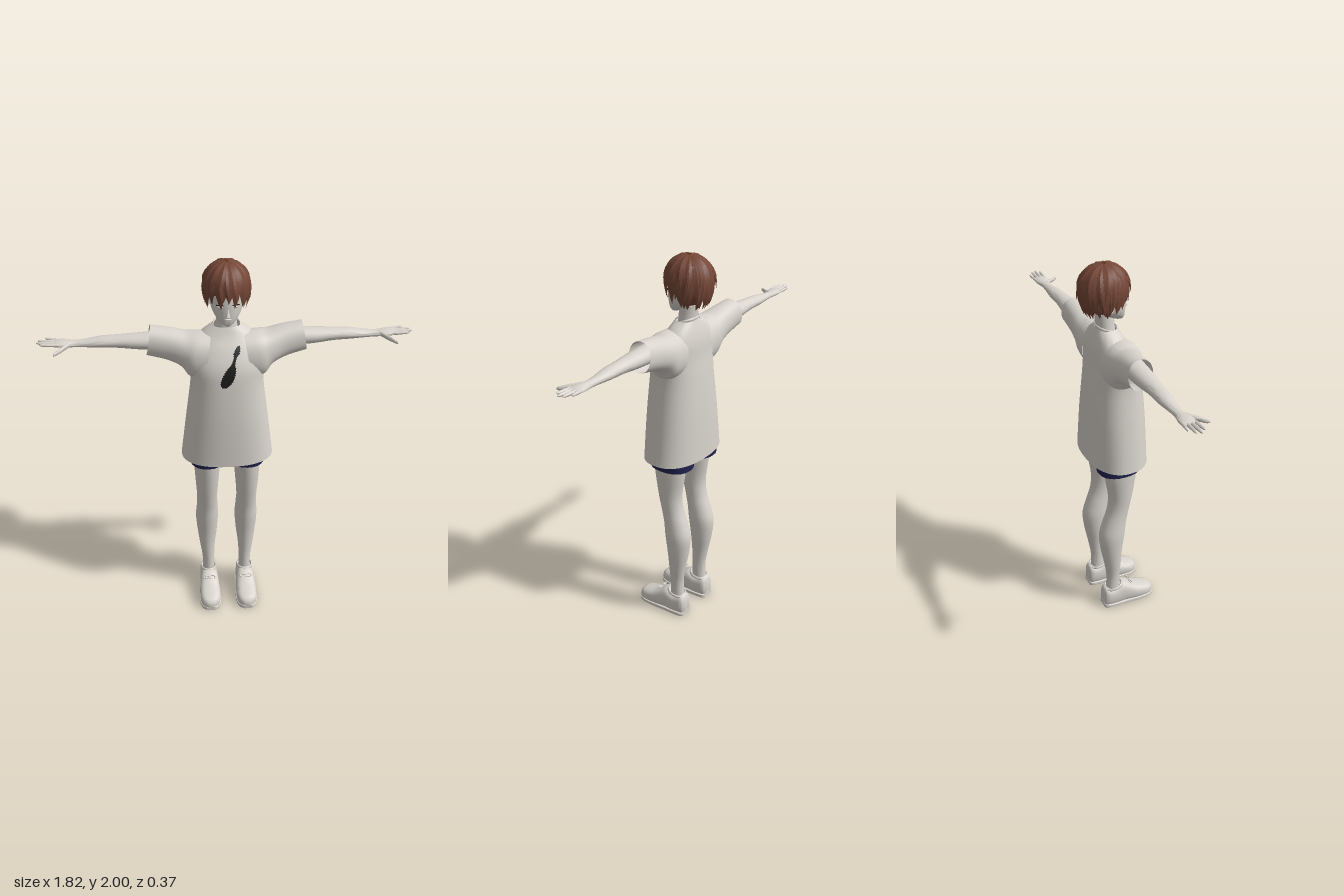
import * as THREE from 'three';
import { toCreasedNormals } from 'three/addons/utils/BufferGeometryUtils.js';

const paint = (name, color, side = THREE.FrontSide) => {
  const m = new THREE.MeshStandardMaterial({ color, side });
  m.name = name;
  return m;
};

// Catmull-Rom resampling of rows of numbers
function resample(rows, steps) {
  const out = [], last = rows.length - 1;
  const at = (i) => rows[Math.max(0, Math.min(last, i))];
  for (let i = 0; i < last; i++) {
    for (let k = 0; k < steps; k++) {
      const t = k / steps;
      out.push(rows[i].map((b, j) => {
        const a = at(i - 1)[j], c = at(i + 1)[j], d = at(i + 2)[j];
        return 0.5 * (2 * b + (c - a) * t + (2 * a - 5 * b + 4 * c - d) * t * t + (3 * b - a - 3 * c + d) * t ** 3);
      }));
    }
  }
  out.push(rows[last]);
  return out;
}

// Surface through rings of points, with optional end caps
function skin(rings, capStart = true, capEnd = true) {
  const n = rings[0].length, pos = [], idx = [];
  rings.forEach((r) => r.forEach((p) => pos.push(p.x, p.y, p.z)));
  for (let i = 0; i < rings.length - 1; i++) {
    for (let j = 0; j < n; j++) {
      const a = i * n + j, b = i * n + (j + 1) % n;
      idx.push(a, b, b + n, a, b + n, a + n);
    }
  }
  const cap = (ring, base, start) => {
    const c = ring.reduce((s, p) => s.add(p), new THREE.Vector3()).divideScalar(n);
    const k = pos.push(c.x, c.y, c.z) / 3 - 1;
    for (let j = 0; j < n; j++) {
      const a = base + j, b = base + (j + 1) % n;
      if (start) idx.push(k, b, a); else idx.push(k, a, b);
    }
  };
  if (capStart) cap(rings[0], 0, true);
  if (capEnd) cap(rings[rings.length - 1], (rings.length - 1) * n, false);
  const g = new THREE.BufferGeometry();
  g.setAttribute('position', new THREE.Float32BufferAttribute(pos, 3));
  g.setIndex(idx);
  return g;
}

// Rounded tube along an axis; sections are [t, centreA, centreB, radiusA, radiusB]
// axis x: A=y B=z, axis y: A=x B=z, axis z: A=x B=y
function loft(axis, sections, { n = 24, exp = 2, steps = 4, start = true, end = true, shear = 0 } = {}) {
  const pw = (v) => Math.sign(v) * Math.abs(v) ** (2 / exp);
  const rings = resample(sections, steps).map(([t, ca, cb, ra, rb]) => {
    const ring = [];
    for (let j = 0; j < n; j++) {
      const th = (j / n) * Math.PI * 2, c = pw(Math.cos(th)), s = pw(Math.sin(th));
      if (axis === 'x') ring.push(new THREE.Vector3(t + shear * ra * c, ca + ra * c, cb + rb * s));
      else if (axis === 'y') ring.push(new THREE.Vector3(ca + ra * s, t, cb + rb * c));
      else ring.push(new THREE.Vector3(ca + ra * c, cb + rb * s, t));
    }
    return ring;
  });
  return skin(rings, start, end);
}

function mirror(geo) {
  const g = geo.clone().scale(-1, 1, 1), a = g.index.array;
  for (let i = 0; i < a.length; i += 3) [a[i], a[i + 1]] = [a[i + 1], a[i]];
  return g;
}

export function createModel() {
  const model = new THREE.Group();
  const body = paint('offWhite', 0xd8d3cc), cloth = body.clone();
  cloth.side = THREE.DoubleSide;
  const hairMat = paint('brownHair', 0x744636);
  const navy = paint('navy', 0x22224f, THREE.DoubleSide);
  const black = paint('black', 0x1b1b1b, THREE.DoubleSide);
  const white = paint('eyeWhite', 0xf2f0ee);
  body.name = cloth.name = 'offWhite';

  const add = (name, geo, mat, crease = 0.9) => {
    const mesh = new THREE.Mesh(toCreasedNormals(geo, crease), mat);
    mesh.name = name;
    model.add(mesh);
  };
  const pair = (name, geo, mat, crease) => {
    add('left' + name, geo, mat, crease);
    add('right' + name, mirror(geo), mat, crease);
  };

  // Loose shirt
  const torso = [
    [0.963, 0, -0.012, 0.235, 0.152], [1.2, 0, -0.01, 0.205, 0.145], [1.4, 0, -0.009, 0.18, 0.131],
    [1.5, 0, -0.011, 0.183, 0.118], [1.58, 0, -0.027, 0.172, 0.097], [1.64, 0, -0.04, 0.128, 0.07],
    [1.685, 0, -0.043, 0.068, 0.05]];
  add('shirtBody', loft('y', torso, { n: 48, exp: 2.35, start: false, end: false }), cloth);
  pair('Sleeve', loft('x', [
    [0.1, 1.53, -0.02, 0.12, 0.1], [0.165, 1.54, -0.022, 0.112, 0.098], [0.21, 1.565, -0.03, 0.086, 0.086],
    [0.28, 1.588, -0.04, 0.078, 0.072], [0.378, 1.607, -0.047, 0.073, 0.063]],
  { n: 32, exp: 2.2, start: false, end: false, shear: -0.17 }), cloth);
  const collar = new THREE.TorusGeometry(1, 0.06, 8, 40).rotateX(Math.PI / 2)
    .scale(0.066, 0.1, 0.055).rotateX(0.3).translate(0, 1.68, -0.04);
  add('collar', collar, body);

  // Feather print that follows the shirt front
  const rows = resample(torso, 8);
  const frontZ = (x, y) => {
    const i = rows.findIndex((r) => r[0] > y), a = rows[i - 1], b = rows[i];
    const k = (y - a[0]) / (b[0] - a[0]);
    const [, , cz, rx, rz] = a.map((v, j) => v + (b[j] - v) * k);
    return cz + rz * (1 - (Math.abs(x) / rx) ** 2.35) ** (1 / 2.35);
  };
  const widths = [0.01, 0.024, 0.029, 0.03, 0.029, 0.026, 0.02, 0.01, 0.007, 0.007, 0.015, 0.013, 0.005];
  const feather = new THREE.PlaneGeometry(1, 1, 4, 36), fp = feather.attributes.position;
  for (let i = 0; i < fp.count; i++) {
    const v = fp.getY(i) + 0.5, f = v * 12, k = Math.min(11, Math.floor(f));
    const jag = Math.round(v * 36) % 2 ? 0.9 : 1.08;
    const w = (widths[k] + (widths[k + 1] - widths[k]) * (f - k)) * jag;
    const x = -0.022 + 0.074 * v + fp.getX(i) * 2 * w, y = 1.42 + 0.19 * v;
    fp.setXYZ(i, x, y, frontZ(x, y) + 0.004);
  }
  add('featherPrint', feather, black);

  // Shorts and legs
  pair('ShortsLeg', loft('y', [
    [0.917, 0.102, -0.022, 0.093, 0.113], [0.98, 0.1, -0.02, 0.094, 0.114], [1.1, 0.08, -0.015, 0.085, 0.1]],
  { exp: 2.3, start: false }), navy);
  pair('Leg', loft('y', [
    [0.09, 0.102, -0.055, 0.034, 0.04], [0.2, 0.103, -0.053, 0.033, 0.038], [0.3, 0.107, -0.058, 0.042, 0.047],
    [0.4, 0.107, -0.064, 0.054, 0.06], [0.5, 0.107, -0.062, 0.061, 0.071], [0.58, 0.106, -0.047, 0.057, 0.065],
    [0.66, 0.106, -0.026, 0.054, 0.06], [0.75, 0.106, -0.013, 0.059, 0.065], [0.9, 0.104, -0.012, 0.069, 0.088],
    [1.02, 0.1, -0.012, 0.074, 0.092]]), body);

  // Shoes: upper, welt, ankle collar and bow
  const shoe = [
    [-0.115, 0.03, 0.1], [-0.1, 0.043, 0.126], [-0.05, 0.049, 0.12], [0, 0.051, 0.138], [0.04, 0.054, 0.118],
    [0.08, 0.057, 0.096], [0.13, 0.056, 0.08], [0.165, 0.044, 0.068], [0.183, 0.022, 0.05]];
  pair('ShoeUpper', loft('z', shoe.map(([z, w, h]) => [z, 0.103, h / 2, w, h / 2]), { exp: 2.8 }), body);
  pair('ShoeSole', loft('z', shoe.map(([z, w]) => [z * 1.01, 0.103, 0.012, w + 0.003, 0.012]), { exp: 6 }), body, 0.6);
  pair('ShoeCollar', new THREE.TorusGeometry(1, 0.14, 8, 28).rotateX(Math.PI / 2)
    .scale(0.041, 0.06, 0.05).rotateX(-0.2).translate(0.103, 0.125, -0.052), body);
  for (const s of [-1, 1]) {
    pair(s > 0 ? 'OuterBow' : 'InnerBow', new THREE.TorusGeometry(0.012, 0.003, 6, 14)
      .scale(1.3, 0.7, 1).rotateX(-1).translate(0.103 + s * 0.017, 0.124, 0.047), body);
  }

  // Arms and hands
  pair('Arm', loft('x', [
    [0.14, 1.6, -0.035, 0.05, 0.06], [0.3, 1.605, -0.043, 0.045, 0.055], [0.42, 1.605, -0.044, 0.039, 0.049],
    [0.52, 1.607, -0.046, 0.031, 0.039], [0.6, 1.606, -0.048, 0.027, 0.037], [0.68, 1.602, -0.048, 0.019, 0.027],
    [0.73, 1.601, -0.048, 0.016, 0.024], [0.78, 1.604, -0.048, 0.015, 0.036], [0.815, 1.606, -0.05, 0.011, 0.036],
    [0.83, 1.606, -0.05, 0.007, 0.032]]), body);
  const finger = (x0, z0, x1, z1, r, y1) => loft('x', [0, 0.35, 0.7, 0.93, 1].map((k, i) => {
    const f = r * [1, 0.98, 0.88, 0.65, 0.2][i];
    return [x0 + (x1 - x0) * k, 1.606 + (y1 - 1.606) * k, z0 + (z1 - z0) * k, f, f];
  }), { n: 10, steps: 2 });
  [[-0.077, 0.872, -0.087, 0.0075], [-0.059, 0.903, -0.064, 0.0085],
    [-0.041, 0.911, -0.042, 0.009], [-0.023, 0.893, -0.02, 0.0085]].forEach(([z0, x1, z1, r], i) =>
    pair('Finger' + (i + 1), finger(0.805, z0, x1, z1, r, 1.612), body));
  pair('Thumb', finger(0.745, -0.04, 0.825, 0.045, 0.013, 1.59), body);

  // Neck, head and face
  add('neck', loft('y', [
    [1.62, 0, -0.045, 0.066, 0.052], [1.68, 0, -0.045, 0.052, 0.046], [1.76, 0, -0.05, 0.046, 0.047]]), body);
  add('head', loft('y', [
    [1.71, 0, 0.033, 0.012, 0.014], [1.725, 0, 0.016, 0.035, 0.036], [1.75, 0, -0.008, 0.058, 0.063],
    [1.785, 0, -0.028, 0.075, 0.084], [1.83, 0, -0.038, 0.084, 0.093], [1.88, 0, -0.045, 0.086, 0.095],
    [1.93, 0, -0.05, 0.07, 0.08], [1.96, 0, -0.05, 0.03, 0.04]], { n: 32 }), body);
  add('nose', new THREE.ConeGeometry(0.011, 0.045, 10).scale(1, 1, 1.1).rotateX(-0.2).translate(0, 1.79, 0.059), body);
  add('lips', new THREE.SphereGeometry(1, 16, 8).scale(0.016, 0.005, 0.006).translate(0, 1.75, 0.054), body);
  pair('Ear', new THREE.SphereGeometry(1, 14, 10).scale(0.01, 0.03, 0.02).rotateY(0.3).translate(0.085, 1.805, -0.06), body);
  pair('Eye', new THREE.SphereGeometry(1, 14, 8).scale(0.017, 0.008, 0.004).rotateY(0.4).translate(0.037, 1.813, 0.046), white);
  pair('EyeLash', new THREE.BoxGeometry(0.036, 0.003, 0.006).rotateZ(-0.08).rotateY(0.4).translate(0.038, 1.822, 0.049), black);

  // Hair: skull cap, lower back shell and layered locks
  let seed = 7;
  const rnd = () => (seed = (seed * 16807) % 2147483647) / 2147483647;
  add('hairCap', new THREE.SphereGeometry(1, 32, 12, 0, Math.PI * 2, 0, Math.PI * 0.52)
    .scale(0.104, 0.113, 0.113).translate(0, 1.875, -0.05), hairMat);
  add('hairBack', new THREE.SphereGeometry(1, 24, 10, Math.PI * 1.03, -Math.PI * 1.06 + Math.PI * 2, Math.PI / 2, Math.PI * 0.33)
    .scale(0.1, 0.125, 0.11).rotateY(0).translate(0, 1.875, -0.052), hairMat);
  const lock = (az, tEnd, size, half, twist, flare) => {
    const rings = [];
    for (let i = 0; i <= 7; i++) {
      const k = i / 7, t = 0.08 + (tEnd - 0.08) * k, a = az + twist * k * k;
      const s = size + flare * k ** 4;
      const r = (t < Math.PI / 2 ? Math.sin(t) : 0.5 + 0.5 * Math.sin(t)) * s;
      const out = new THREE.Vector3(Math.sin(a), 0, Math.cos(a));
      const side = new THREE.Vector3(Math.cos(a), 0, -Math.sin(a));
      const c = new THREE.Vector3(out.x * 0.105 * r, 1.875 + Math.cos(t) * (t < Math.PI / 2 ? 0.115 * s : 0.14), -0.05 + out.z * 0.115 * r);
      const normal = out.clone().multiplyScalar(Math.sin(t)).setY(Math.max(0, Math.cos(t))).normalize();
      const w = half * [0.25, 0.6, 0.9, 1, 1, 0.85, 0.5, 0.03][i], h = w * 0.32;
      rings.push([[w, 0], [0, h], [-w, 0], [0, -h]].map(([u, v]) =>
        c.clone().addScaledVector(side, u).addScaledVector(normal, v)));
    }
    return skin(rings);
  };
  const layer = (name, count, endScale, size, half, flare) => {
    for (let i = 0; i < count; i++) {
      const az = ((i + 0.5) / count) * Math.PI * 2, back = (1 - Math.cos(az)) / 2;
      const tEnd = (1.98 + 0.66 * back + (rnd() - 0.5) * 0.22) * endScale;
      add(name + (i + 1), lock(az, tEnd, size + rnd() * 0.03, half, (rnd() - 0.5) * 0.5, flare * rnd()), hairMat, 0.4);
    }
  };
  layer('hairLowerLock', 24, 1, 1.0, 0.026, 0.06);
  layer('hairMiddleLock', 19, 0.9, 1.03, 0.025, 0.1);
  layer('hairUpperLock', 13, 0.7, 1.05, 0.026, 0.14);

  return model;
}
